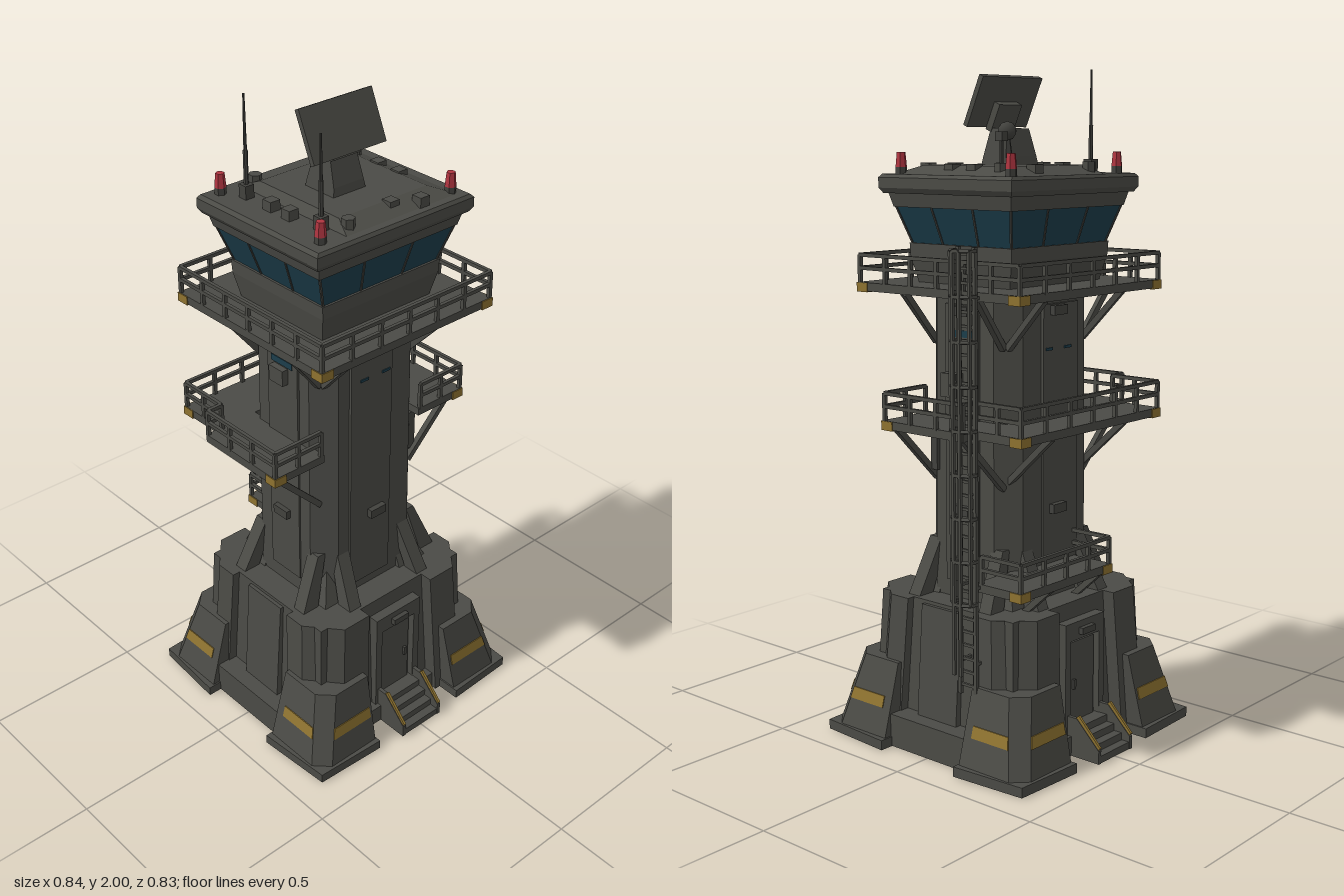
import * as THREE from 'three';
import { ConvexGeometry } from 'three/addons/geometries/ConvexGeometry.js';

const mat = (name, color) => Object.assign(new THREE.MeshStandardMaterial({ color }), { name });
const V = (x, y, z) => new THREE.Vector3(x, y, z);

export function createModel() {
  const grey = mat('concrete grey', 0x4b4b46);
  const dark = mat('dark metal', 0x42423e);
  const yellow = mat('hazard yellow', 0x8f7330);
  const glass = mat('window glass', 0x1c3e4c);
  const red = mat('beacon red', 0xb03540);

  const model = new THREE.Group();
  model.name = 'controlTower';
  const group = (name) => {
    const g = new THREE.Group();
    g.name = name;
    model.add(g);
    return g;
  };
  const add = (parent, name, geo, m) => {
    const mesh = new THREE.Mesh(geo, m);
    mesh.name = name;
    parent.add(mesh);
    return mesh;
  };
  // box from min and max corners, in any order
  const box = (p, name, m, x0, x1, y0, y1, z0, z1) => {
    const mesh = add(p, name, new THREE.BoxGeometry(Math.abs(x1 - x0), Math.abs(y1 - y0), Math.abs(z1 - z0)), m);
    mesh.position.set((x0 + x1) / 2, (y0 + y1) / 2, (z0 + z1) / 2);
    return mesh;
  };
  // rectangle [x0, x1, z0, z1] at height y, with corners cut by c
  const ring = (y, [x0, x1, z0, z1], c = 0) => {
    const pts = [];
    for (const [x, s] of [[x0, 1], [x1, -1]]) for (const [z, t] of [[z0, 1], [z1, -1]]) {
      pts.push(V(x + s * c, y, z));
      if (c) pts.push(V(x, y, z + t * c));
    }
    return pts;
  };
  // rectangle with only its outer corner cut
  const cutRing = (y, [x0, x1, z0, z1], cx, cz) =>
    [V(x0, y, z0), V(x1, y, z0), V(x1, y, z1 - cz), V(x1 - cx, y, z1), V(x0, y, z1)];
  const sym = (x, z) => [-x, x, -z, z];
  // tapered solid through several rings, mirrored by sx and sz
  const solid = (p, name, m, rings, sx = 1, sz = 1) =>
    add(p, name, new ConvexGeometry(rings.flat().map((v) => V(v.x * sx, v.y, v.z * sz))), m);
  // bar between two points
  const beam = (p, name, m, a, b, w = 0.011, d = w) => {
    const dir = b.clone().sub(a);
    const mesh = add(p, name, new THREE.BoxGeometry(w, dir.length(), d), m);
    mesh.position.copy(a).add(b).multiplyScalar(0.5);
    mesh.quaternion.setFromUnitVectors(V(0, 1, 0), dir.normalize());
  };
  const post = (p, name, m, x, y0, y1, z, r0, r1 = r0, n = 6) => {
    const mesh = add(p, name, new THREE.CylinderGeometry(r1, r0, y1 - y0, n).toNonIndexed(), m);
    mesh.geometry.computeVertexNormals();
    mesh.position.set(x, (y0 + y1) / 2, z);
  };
  // guard rail along a path of [x, z] points
  const railing = (p, path, y, h) => {
    for (let i = 0; i + 1 < path.length; i++) {
      const a = V(path[i][0], y, path[i][1]), b = V(path[i + 1][0], y, path[i + 1][1]);
      const n = Math.max(1, Math.round(a.distanceTo(b) / 0.11));
      for (const k of [0.55, 1]) beam(p, 'handRail', grey, a.clone().setY(y + h * k), b.clone().setY(y + h * k));
      for (let j = 0; j <= n; j++) {
        const q = a.clone().lerp(b, j / n);
        beam(p, 'railPost', grey, q, q.clone().setY(y + h));
      }
    }
  };
  // painted wrap on the lower edge of a deck corner
  const cornerMark = (p, x, y, z) => {
    const s = Math.sign(x), t = Math.sign(z);
    box(p, 'cornerMark', yellow, x - s * 0.04, x + s * 0.003, y - 0.003, y + 0.024, z - t * 0.04, z + t * 0.003);
  };

  // base core and low skirt between the feet
  const base = group('base');
  solid(base, 'baseCore', grey, [ring(0, sym(0.31, 0.28)), ring(0.45, sym(0.29, 0.26))]);
  box(base, 'sideSkirt', grey, -0.375, 0.375, 0, 0.1, -0.16, 0.16);
  box(base, 'frontSkirt', grey, -0.18, 0.18, 0, 0.06, -0.31, 0.31);
  const slab = [[0.17, 0.145], [0.42, 0.145], [0.403, 0.39], [0.17, 0.4]];
  for (const sx of [-1, 1]) {
    solid(base, 'sidePanel', grey, [ring(0.1, [0.28, 0.325, -0.07, 0.085]), ring(0.44, [0.28, 0.302, -0.07, 0.085])], sx);
    for (const sz of [-1, 1]) {
      solid(base, 'footSlab', grey, [0, 0.03].map((y) => slab.map(([x, z]) => V(x, y, z))), sx, sz);
      solid(base, 'foot', grey, [cutRing(0.03, [0.175, 0.4, 0.15, 0.383], 0.045, 0.045), cutRing(0.25, [0.165, 0.34, 0.15, 0.333], 0.045, 0.045)], sx, sz);
      solid(base, 'cornerColumn', grey, [cutRing(0, [0.15, 0.34, 0.15, 0.325], 0.085, 0.1), cutRing(0.45, [0.13, 0.315, 0.13, 0.3], 0.085, 0.1)], sx, sz);
      // painted bands lying on the sloping foot faces
      solid(base, 'frontBand', yellow, [ring(0.113, [0.18, 0.332, 0.358, 0.3672]), ring(0.147, [0.18, 0.324, 0.352, 0.3594])], sx, sz);
      solid(base, 'sideBand', yellow, [ring(0.113, [0.372, 0.3804, 0.18, 0.318]), ring(0.147, [0.362, 0.3711, 0.18, 0.311])], sx, sz);
      // sloping braces and corner wedge against the shaft
      solid(base, 'sideBrace', grey, [ring(0.44, [0.22, 0.28, 0.12, 0.165]), ring(0.62, [0.17, 0.2, 0.1, 0.145])], sx, sz);
      solid(base, 'frontBrace', grey, [ring(0.44, [0.12, 0.165, 0.2, 0.255]), ring(0.62, [0.1, 0.145, 0.14, 0.17])], sx, sz);
      solid(base, 'cornerWedge', grey, [ring(0.44, [0.1, 0.215, 0.1, 0.195]), ring(0.55, [0.1, 0.17, 0.1, 0.15])], sx, sz);
    }
  }

  // doors, frames and stairs, front and back
  for (const s of [-1, 1]) {
    const entry = group(s > 0 ? 'frontEntrance' : 'backEntrance');
    for (const x of [-0.08, 0.08]) box(entry, 'doorPost', grey, x - 0.012, x + 0.012, 0, 0.4, s * 0.25, s * 0.295);
    box(entry, 'doorLintel', grey, -0.092, 0.092, 0.345, 0.4, s * 0.25, s * 0.295);
    box(entry, 'door', grey, -0.058, 0.058, 0.08, 0.335, s * 0.25, s * 0.282);
    box(entry, 'doorHandle', dark, 0.035, 0.045, 0.19, 0.22, s * 0.28, s * 0.29);
    box(entry, 'doorLamp', dark, -0.03, 0.03, 0.36, 0.38, s * 0.29, s * 0.31);
    for (let i = 0; i < 4; i++)
      box(entry, 'step', grey, -0.07, 0.07, 0, 0.022 * (i + 1), s * 0.27, s * (0.41 - i * 0.028));
    for (const x of [-0.076, 0.076]) {
      solid(entry, 'stairSide', grey, [ring(0, [x - 0.006, x + 0.006, 0.28, 0.412]), ring(0.04, [x - 0.006, x + 0.006, 0.28, 0.412]), ring(0.12, [x - 0.006, x + 0.006, 0.28, 0.33])], 1, s);
      beam(entry, 'stairEdge', yellow, V(x, 0.044, s * 0.41), V(x, 0.125, s * 0.33), 0.008, 0.014);
    }
  }

  // shaft with cut corners and raised wall panels
  const shaft = group('shaft');
  solid(shaft, 'shaftWall', grey, [ring(0.44, sym(0.205, 0.175), 0.06), ring(1.37, sym(0.2, 0.17), 0.06)]);
  for (const s of [-1, 1]) {
    box(shaft, 'wallPanel', grey, -0.1, 0.06, 0.48, 1.33, s * 0.16, s * 0.18);
    box(shaft, 'sideWallPanel', grey, s * 0.19, s * 0.209, 0.5, 1.33, -0.06, 0.07);
    for (const y of [0.72, 1.31]) {
      box(shaft, 'wallLamp', dark, -0.03, 0.03, y - 0.012, y + 0.016, s * 0.17, s * 0.198);
      box(shaft, 'sideWallLamp', dark, s * 0.2, s * 0.225, y - 0.012, y + 0.016, -0.03, 0.03);
    }
    for (const x of [-0.05, 0.035]) box(shaft, 'slitWindow', glass, x - 0.015, x + 0.015, 1.195, 1.203, s * 0.17, s * 0.183);
    box(shaft, 'sideSlitWindow', glass, s * 0.2, s * 0.212, 1.235, 1.255, -0.04, 0.05);
  }
  box(shaft, 'equipmentBox', grey, 0.2, 0.24, 1.06, 1.13, 0, 0.06);
  box(shaft, 'junctionBox', grey, -0.23, -0.2, 1.18, 1.23, -0.03, 0.03);
  box(shaft, 'cableBox', dark, 0.19, 0.215, 0.83, 0.96, 0.1, 0.125);

  // middle deck: side floors and a narrower back floor
  const mid = group('middleDeck');
  box(mid, 'backFloor', grey, -0.325, 0.325, 0.97, 0.995, -0.32, -0.15);
  for (const s of [-1, 1]) {
    box(mid, 'sideFloor', grey, s * 0.19, s * 0.375, 0.97, 0.995, -0.15, 0.165);
    for (const z of [-0.13, 0.13]) beam(mid, 'sideBrace', grey, V(s * 0.35, 0.97, z), V(s * 0.18, 0.8, z), 0.018);
    beam(mid, 'backBrace', grey, V(s * 0.17, 0.97, -0.3), V(s * 0.165, 0.82, -0.14), 0.018);
    cornerMark(mid, s * 0.375, 0.97, 0.165);
    cornerMark(mid, s * 0.325, 0.97, -0.32);
  }
  const half = [[0.2, 0.16], [0.37, 0.16], [0.37, -0.145], [0.32, -0.145], [0.32, -0.315]];
  railing(mid, [...half, ...half.map(([x, z]) => [-x, z]).reverse()], 0.99, 0.085);

  // small lower deck at the back
  const low = group('lowerDeck');
  box(low, 'floor', grey, -0.09, 0.325, 0.53, 0.555, -0.32, -0.15);
  railing(low, [[-0.085, -0.17], [-0.085, -0.315], [0.32, -0.315], [0.32, -0.17]], 0.55, 0.085);
  for (const x of [-0.06, 0.17]) beam(low, 'deckBrace', grey, V(x, 0.53, -0.3), V(x, 0.42, -0.18), 0.018);
  cornerMark(low, -0.09, 0.53, -0.32);
  cornerMark(low, 0.325, 0.53, -0.32);

  // upper deck around the cabin, with paired braces at each corner
  const up = group('upperDeck');
  box(up, 'floor', grey, -0.325, 0.325, 1.36, 1.385, -0.315, 0.31);
  railing(up, [[-0.32, 0.305], [0.32, 0.305], [0.32, -0.31], [-0.32, -0.31], [-0.32, 0.305]], 1.38, 0.085);
  for (const s of [-1, 1]) for (const t of [-1, 1]) {
    beam(up, 'sideBrace', grey, V(s * 0.3, 1.36, t * 0.14), V(s * 0.18, 1.21, t * 0.13), 0.018);
    beam(up, 'frontBrace', grey, V(s * 0.18, 1.36, t * 0.28), V(s * 0.17, 1.21, t * 0.14), 0.018);
    cornerMark(up, s * 0.325, 1.36, t > 0 ? 0.31 : -0.315);
  }

  // cabin with outward-leaning windows
  const cabin = group('cabin');
  solid(cabin, 'cabinWall', grey, [ring(1.38, sym(0.205, 0.175)), ring(1.46, sym(0.22, 0.195)), ring(1.5, sym(0.222, 0.197))]);
  solid(cabin, 'windows', glass, [ring(1.5, sym(0.215, 0.19)), ring(1.615, sym(0.255, 0.222))]);
  for (const s of [-1, 1]) for (const k of [-1, -0.36, 0.36, 1]) {
    beam(cabin, 'windowBar', dark, V(k * 0.215, 1.5, s * 0.19), V(k * 0.255, 1.615, s * 0.222), 0.006);
    beam(cabin, 'sideWindowBar', dark, V(s * 0.215, 1.5, k * 0.19), V(s * 0.255, 1.615, k * 0.222), 0.006);
  }
  solid(cabin, 'eave', grey, [ring(1.605, sym(0.258, 0.225)), ring(1.65, sym(0.27, 0.236))]);
  solid(cabin, 'roofSlab', grey, [ring(1.645, sym(0.28, 0.245)), ring(1.66, sym(0.29, 0.255)), ring(1.69, sym(0.29, 0.255)), ring(1.7, sym(0.28, 0.248))]);
  solid(cabin, 'roofTop', grey, [ring(1.695, [-0.165, 0.265, -0.235, 0.235]), ring(1.725, [-0.135, 0.19, -0.165, 0.165])]);

  // roof equipment
  const roof = group('roofEquipment');
  for (const x of [-0.235, 0.245]) for (const z of [-0.215, 0.205]) {
    post(roof, 'beaconBase', dark, x, 1.69, 1.72, z, 0.017);
    post(roof, 'beacon', red, x, 1.72, 1.762, z, 0.017, 0.013);
  }
  for (const [x, z, top] of [[-0.197, -0.147, 2], [-0.18, 0.145, 1.97]]) {
    box(roof, 'antennaFoot', dark, x - 0.015, x + 0.015, 1.69, 1.74, z - 0.015, z + 0.015);
    post(roof, 'antennaLower', dark, x, 1.72, 1.84, z, 0.007);
    post(roof, 'antennaMast', dark, x, 1.84, top, z, 0.005, 0.003);
  }
  for (const [x, z] of [[-0.197, -0.04], [-0.197, 0.037], [0.12, -0.195], [0.045, 0.175], [0.205, -0.045], [0.205, 0.04], [0.125, 0.21]])
    box(roof, 'roofBox', grey, x - 0.017, x + 0.017, 1.69, 1.73, z - 0.017, z + 0.017);
  for (const [x, z] of [[-0.127, -0.195], [-0.127, 0.193], [0.21, -0.15]]) post(roof, 'roofVent', grey, x, 1.69, 1.735, z, 0.02);
  // small dome and sensor mast
  post(roof, 'domeMast', dark, 0.14, 1.71, 1.81, -0.11, 0.022, 0.008);
  const dome = add(roof, 'dome', new THREE.IcosahedronGeometry(0.027, 1), dark);
  dome.position.set(0.14, 1.822, -0.11);
  post(roof, 'sensorMast', dark, 0.21, 1.72, 1.8, -0.15, 0.006);
  box(roof, 'sensor', dark, 0.197, 0.223, 1.795, 1.82, -0.163, -0.137);

  // tilted radar panel on its pedestal
  const radar = group('radar');
  solid(radar, 'pedestal', grey, [ring(1.72, sym(0.06, 0.06)), ring(1.75, sym(0.055, 0.055)), ring(1.83, sym(0.048, 0.032))]);
  const panel = box(radar, 'panel', grey, -0.132, 0.132, 1.83, 1.985, 0.017, 0.033);
  panel.rotation.x = -0.42;
  const arm = box(radar, 'panelArm', grey, -0.05, 0.05, 1.82, 1.905, 0.012, 0.034);
  arm.rotation.x = -0.42;

  // caged ladder on the left side
  const ladder = group('ladder');
  for (const z of [-0.105, -0.165]) beam(ladder, 'ladderRail', grey, V(0.34, 0.22, z), V(0.34, 1.51, z));
  for (let y = 0.25; y < 1.5; y += 0.04) beam(ladder, 'rung', grey, V(0.34, y, -0.105), V(0.34, y, -0.165), 0.008);
  const hoop = [[0.34, -0.1], [0.368, -0.1], [0.382, -0.12], [0.382, -0.145], [0.368, -0.17], [0.34, -0.17]];
  for (let y = 0.5; y < 1.52; y += 0.125)
    for (let i = 0; i < 5; i++) beam(ladder, 'cageHoop', grey, V(hoop[i][0], y, hoop[i][1]), V(hoop[i + 1][0], y, hoop[i + 1][1]), 0.009);
  for (let i = 1; i < 5; i++) beam(ladder, 'cageBar', grey, V(hoop[i][0], i > 1 && i < 4 ? 0.29 : 0.5, hoop[i][1]), V(hoop[i][0], 1.5, hoop[i][1]), 0.009);
  for (const y of [0.32, 0.545, 1.37]) for (const z of [-0.105, -0.165]) beam(ladder, 'wallBracket', grey, V(0.29, y, z), V(0.34, y, z), 0.009);
  return model;
}
